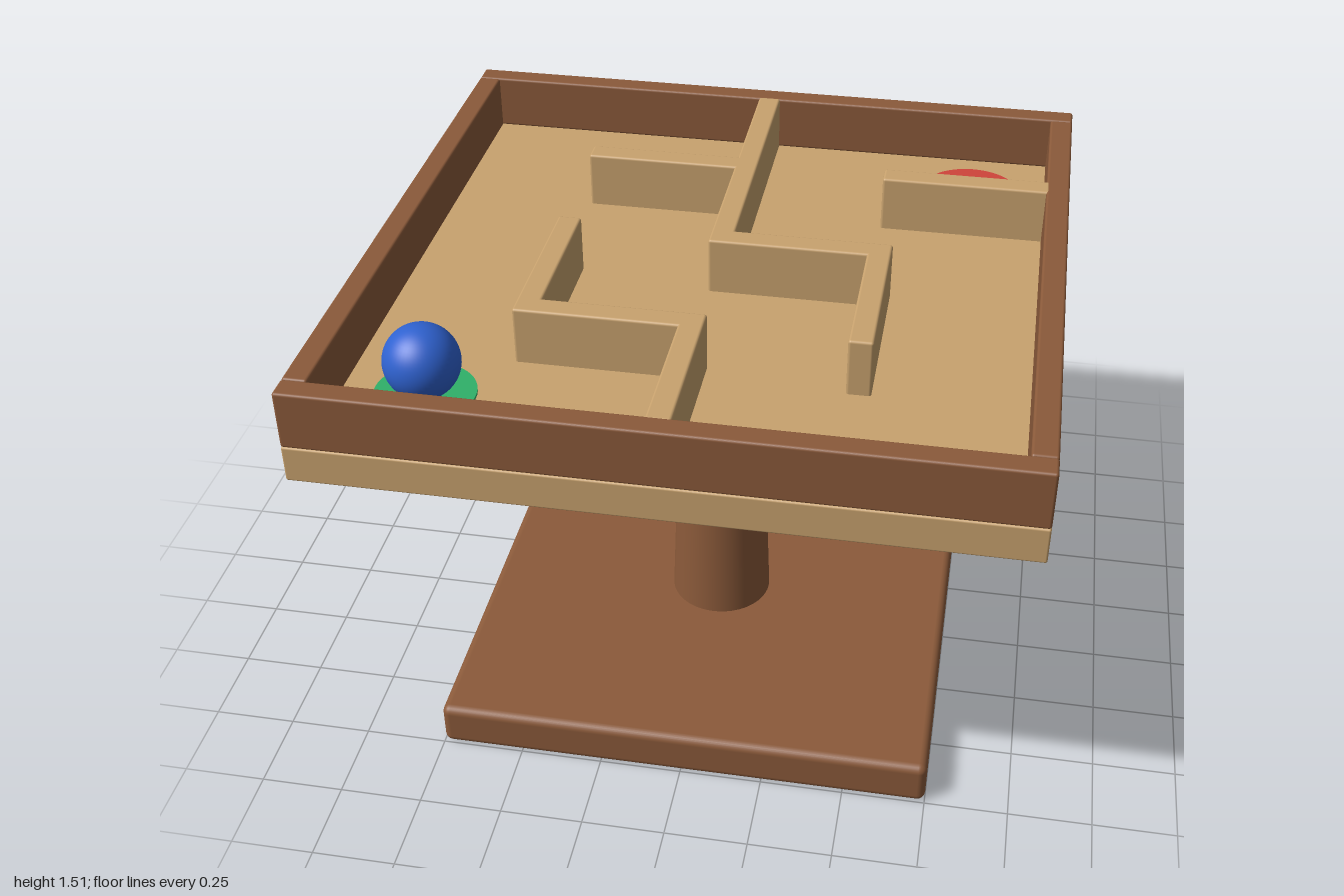
import * as THREE from 'three';
import { RoundedBoxGeometry } from 'three/addons/geometries/RoundedBoxGeometry.js';

const material = (name, color) => {
  const m = new THREE.MeshStandardMaterial({ color });
  m.name = name;
  return m;
};

export function createModel() {
  const model = new THREE.Group();
  model.name = 'tiltingMazeTable';

  const darkWood = material('dark wood', 0x8b5a3a);
  const lightWood = material('light wood', 0xc8a26e);
  const steel = material('steel', 0xb4b8bc);
  const blue = material('blue', 0x2f62d0);
  const green = material('green', 0x2fb069);
  const red = material('red', 0xcf443a);
  const black = material('black', 0x20222c);

  const add = (name, geometry, mat, x, y, z) => {
    const mesh = new THREE.Mesh(geometry, mat);
    mesh.name = name;
    mesh.position.set(x, y, z);
    model.add(mesh);
    return mesh;
  };
  // Rounded block given by its extents
  const block = (name, mat, x0, x1, y0, y1, z0, z1, r) =>
    add(name, new RoundedBoxGeometry(x1 - x0, y1 - y0, z1 - z0, 3, r), mat,
      (x0 + x1) / 2, (y0 + y1) / 2, (z0 + z1) / 2);

  // Stand
  block('base', darkWood, -0.75, 0.75, 0, 0.14, -0.75, 0.75, 0.025);
  add('column', new THREE.CylinderGeometry(0.125, 0.16, 0.92, 48), darkWood, 0, 0.59, 0);
  add('ballJoint', new THREE.SphereGeometry(0.14, 48, 32), steel, 0, 1.11, 0);

  // Tray with its raised frame
  const floor = 1.293, top = 1.465, inner = 0.93;
  block('trayFloor', lightWood, -1, 1, 1.185, floor, -1, 1, 0.006);
  for (const s of [-1, 1]) {
    const [a, b] = s < 0 ? [-1, -inner] : [inner, 1];
    block(s < 0 ? 'backRim' : 'frontRim', darkWood, -1, 1, floor, top, a, b, 0.008);
    block(s < 0 ? 'rightRim' : 'leftRim', darkWood, a, b, floor, top, -inner, inner, 0.008);
  }

  // Maze walls: x0, x1, z0, z1
  const t = 0.035;
  const walls = [
    [-t, t, -0.94, t],
    [-0.5, 0, -0.5, -0.43],
    [0.43, 0.94, -0.5, -0.43],
    [-t, 0.5, -t, t],
    [0.43, 0.5, -t, 0.5],
    [-0.5, -0.43, -t, 0.5],
    [-0.5, t, 0.43, 0.5],
    [-t, t, 0.43, 0.94],
  ];
  for (const [x0, x1, z0, z1] of walls)
    block('mazeWall', lightWood, x0, x1, floor - 0.01, top, z0, z1, 0.008);

  // Start and goal discs
  const disc = (name, mat, r, x, y, z) =>
    add(name, new THREE.CylinderGeometry(r, r, 0.008, 48), mat, x, y, z);
  disc('startDisc', green, 0.142, -0.7, floor + 0.004, 0.695);
  disc('goalRing', red, 0.16, 0.695, floor + 0.004, -0.7);
  disc('goalHole', black, 0.1, 0.695, floor + 0.008, -0.7);

  // Marble
  add('marble', new THREE.SphereGeometry(0.107, 48, 32), blue, -0.7, 1.4, 0.695);

  return model;
}
